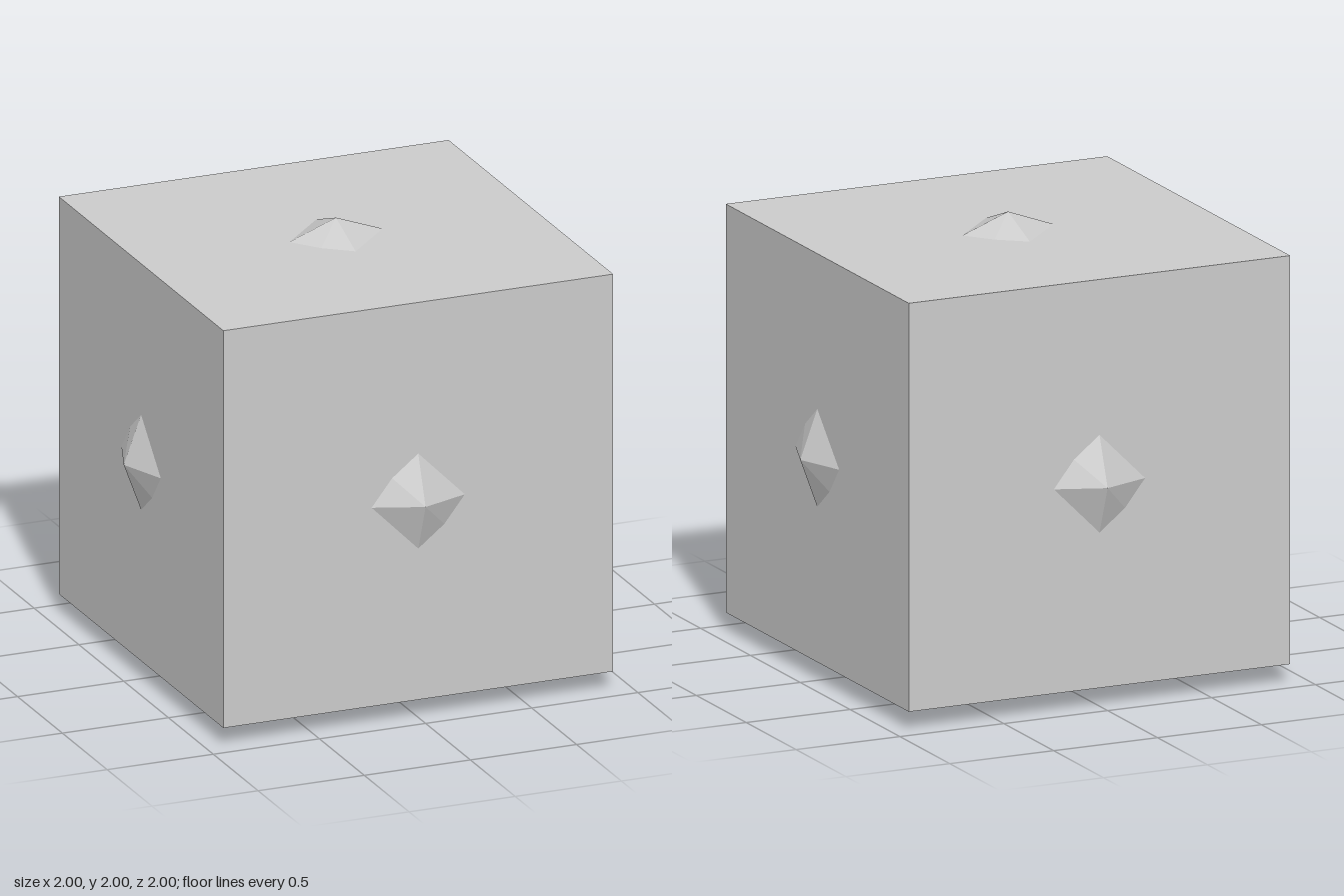
import * as THREE from 'three';

const HALF = 0.918; // half side of the cube
const EDGE = 0.728; // rounded core: position of its edge midpoints
const CORNER = 0.6; // rounded core: position of its corners

// One side of the faceted core, facing +z: a fan of four quads around the tip,
// split alternately through the tip and across it.
function corePatch() {
  const tip = [0, 0, 1];
  const mids = [[EDGE, 0, EDGE], [0, EDGE, EDGE], [-EDGE, 0, EDGE], [0, -EDGE, EDGE]];
  const corners = [[1, 1], [-1, 1], [-1, -1], [1, -1]].map(([x, y]) => [x * CORNER, y * CORNER, CORNER]);
  const points = [];
  for (let i = 0; i < 4; i++) {
    const a = mids[i], b = mids[(i + 1) % 4], c = corners[i];
    if (i % 2) points.push(tip, a, c, tip, c, b);
    else points.push(tip, a, b, a, c, b);
  }
  const geometry = new THREE.BufferGeometry();
  geometry.setAttribute('position', new THREE.Float32BufferAttribute(points.flat(), 3));
  geometry.computeVertexNormals();
  return geometry;
}

export function createModel() {
  const group = new THREE.Group();
  const material = new THREE.MeshStandardMaterial({ color: 0xcccccc, flatShading: true });

  const cube = new THREE.Mesh(new THREE.BoxGeometry(2 * HALF, 2 * HALF, 2 * HALF), material);
  cube.name = 'cube';
  cube.position.y = 1;
  group.add(cube);

  // Faceted core inside the cube; its six tips break through the faces
  const core = new THREE.Group();
  core.name = 'facetedCore';
  core.position.y = 1;
  group.add(core);

  const q = Math.PI / 2;
  const sides = {
    frontTip: [0, 0, 0], rightTip: [0, q, 0], backTip: [0, 2 * q, 0], leftTip: [0, -q, 0],
    topTip: [-q, 0, q], bottomTip: [q, 0, q],
  };
  const patch = corePatch();
  for (const [name, [rx, ry, rz]] of Object.entries(sides)) {
    const tip = new THREE.Mesh(patch, material);
    tip.name = name;
    tip.rotation.set(rx, ry, rz);
    core.add(tip);
  }
  return group;
}
